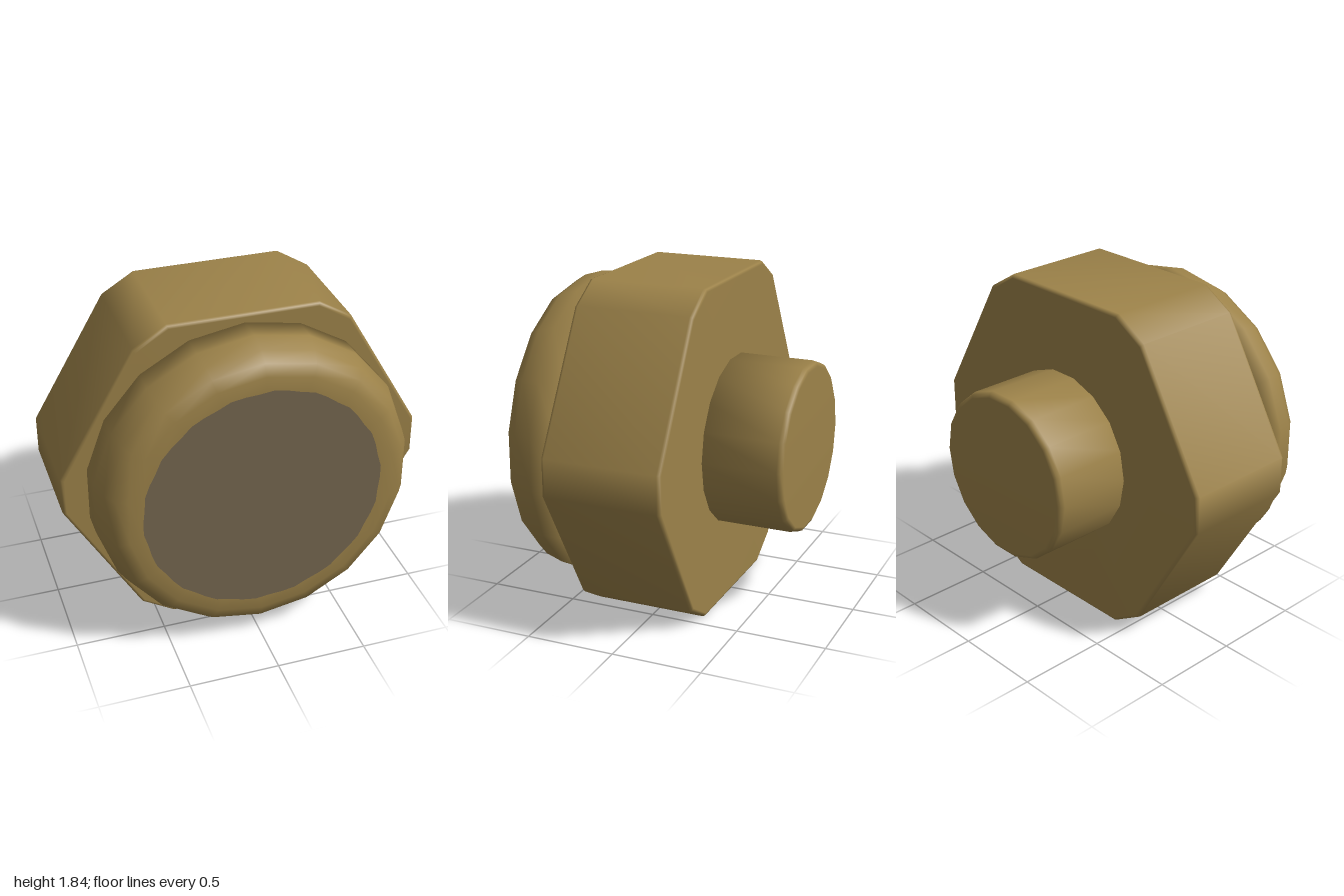
import * as THREE from 'three';

const CENTRE_Y = 0.92;

// Regular polygon with unit radius, starting at angle `start`
function polygon(sides, start) {
  return Array.from({ length: sides }, (_, i) => {
    const a = start + (i / sides) * Math.PI * 2;
    return [Math.cos(a), Math.sin(a)];
  });
}

// Smooth closed solid: scaled copies of an outline stacked along z, [scale, z] from back to front
function loft(outline, rings) {
  const n = outline.length;
  const positions = [];
  const index = [];
  for (const [s, z] of rings) {
    for (const [x, y] of outline) positions.push(x * s, y * s, z);
  }
  for (let r = 0; r < rings.length - 1; r++) {
    for (let i = 0; i < n; i++) {
      const a = r * n + i;
      const b = r * n + (i + 1) % n;
      index.push(a, b, b + n, a, b + n, a + n);
    }
  }
  // End faces
  const last = (rings.length - 1) * n;
  const back = rings.length * n;
  positions.push(0, 0, rings[0][1], 0, 0, rings[rings.length - 1][1]);
  for (let i = 0; i < n; i++) {
    const j = (i + 1) % n;
    index.push(back, j, i, back + 1, last + i, last + j);
  }
  const geometry = new THREE.BufferGeometry();
  geometry.setAttribute('position', new THREE.Float32BufferAttribute(positions, 3));
  geometry.setIndex(index);
  geometry.computeVertexNormals();
  return geometry;
}

export function createModel() {
  const model = new THREE.Group();
  const brass = new THREE.MeshStandardMaterial({ color: 0x9c8249 });
  brass.name = 'brass';
  const greyBrown = new THREE.MeshStandardMaterial({ color: 0x75664f });
  greyBrown.name = 'greyBrown';

  const add = (name, geometry, material) => {
    const mesh = new THREE.Mesh(geometry, material);
    mesh.name = name;
    mesh.position.y = CENTRE_Y;
    model.add(mesh);
  };

  // Hexagonal body with clipped corners and softened rims
  const quarter = [[1, 0.105], [0.59, 0.81], [0.41, 0.92]];
  const half = [...quarter, ...quarter.map(([x, y]) => [-x, y]).reverse()];
  const hexagon = [...half, ...half.map(([x, y]) => [-x, -y])];
  add('hexBody', loft(hexagon, [
    [0.98, -0.28], [0.994, -0.274], [1, -0.26],
    [1, 0.37], [0.994, 0.384], [0.98, 0.39],
  ]), brass);

  // Rounded front cap
  add('frontCap', loft(polygon(18, Math.PI / 2), [
    [0.873, 0.37], [0.873, 0.53], [0.842, 0.635], [0.8, 0.697], [0.735, 0.719], [0.65, 0.724],
  ]), brass);

  // Dark face plate with a slightly uneven rim
  const face = new THREE.CircleGeometry(0.653, 54);
  const p = face.attributes.position;
  for (let i = 1; i < p.count; i++) {
    const k = 1 + 0.008 * Math.sin(((i - 1) / 54) * Math.PI * 36);
    p.setXY(i, p.getX(i) * k, p.getY(i) * k);
  }
  face.translate(0, 0, 0.7265);
  add('facePlate', face, greyBrown);

  // Rear shaft with a small bevel at its end
  add('rearShaft', loft(polygon(18, 0), [
    [0.445, -0.725], [0.465, -0.716], [0.474, -0.695], [0.474, -0.26],
  ]), brass);

  return model;
}
